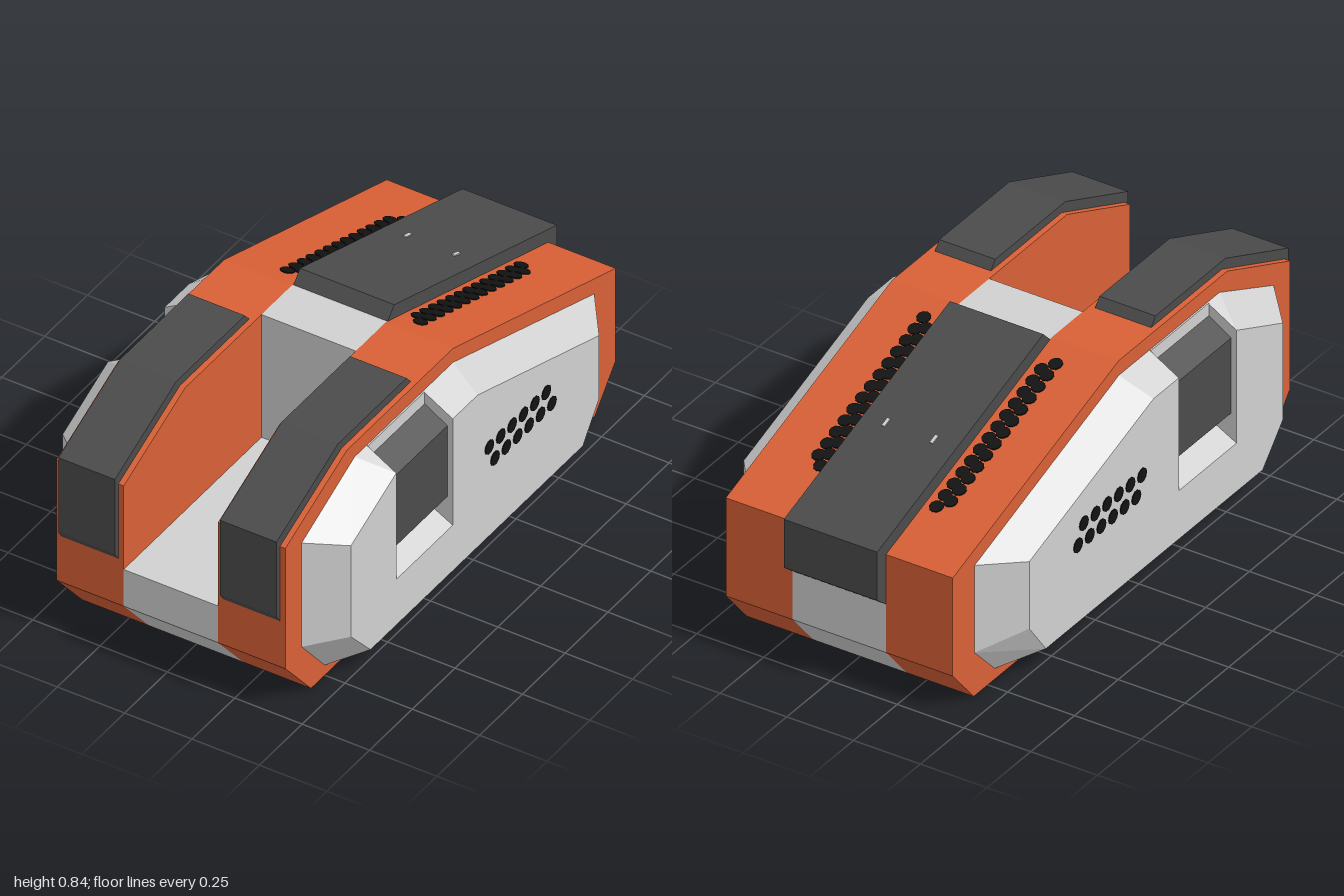
import * as THREE from 'three';
import { ConvexGeometry } from 'three/addons/geometries/ConvexGeometry.js';

const material = (name, color) => {
  const m = new THREE.MeshStandardMaterial({ color });
  m.name = name;
  return m;
};

// Extrudes a side profile of [z, y] points across the width from x0 to x1
function slab(profile, x0, x1) {
  const shape = new THREE.Shape(profile.map(([z, y]) => new THREE.Vector2(z, y)));
  const geo = new THREE.ExtrudeGeometry(shape, { depth: x1 - x0, bevelEnabled: false });
  return geo.rotateY(-Math.PI / 2).translate(x1, 0, 0);
}

// Convex solid between an inner and an outer outline of [z, y] points
function frustum(inner, outer, x0, x1) {
  return new ConvexGeometry([
    ...inner.map(([z, y]) => new THREE.Vector3(x0, y, z)),
    ...outer.map(([z, y]) => new THREE.Vector3(x1, y, z)),
  ]);
}

export function createModel() {
  const model = new THREE.Group();
  model.name = 'armouredPod';
  const orange = material('orange', 0xd96036);
  const grey = material('lightGrey', 0xd0d0d0);
  const dark = material('darkGrey', 0x4b4b4b);
  const black = material('black', 0x111111);

  const add = (name, geo, mat, parent = model) => {
    const mesh = new THREE.Mesh(geo, mat);
    mesh.name = name;
    parent.add(mesh);
    return mesh;
  };

  // Central body with the open front bay
  add('centreBody', slab([
    [0.98, 0.175], [0.98, 0.32], [0.175, 0.32], [0.175, 0.805], [0, 0.805],
    [-0.95, 0.505], [-0.95, 0.14], [-0.83, 0], [0.83, 0],
  ], -0.175, 0.175), grey);

  // Sloping rear deck panel
  add('rearPanel', slab([
    [-0.01, 0.8], [-0.05, 0.842], [-1, 0.54], [-1, 0.36], [-0.95, 0.32], [-0.95, 0.505],
  ], -0.175, 0.175), dark);

  const slope = -Math.atan2(0.3, 0.95);
  for (const x of [-0.09, 0.09]) {
    const tick = add('panelSlit', new THREE.BoxGeometry(0.012, 0.006, 0.035), grey);
    tick.position.set(x, 0.686, -0.545);
    tick.rotation.x = slope;
  }

  const hull = [
    [0.98, 0.175], [0.98, 0.65], [0.62, 0.805], [0, 0.805],
    [-0.95, 0.505], [-0.95, 0.14], [-0.83, 0], [0.83, 0],
  ];
  const fender = [
    [0.98, 0.355], [1, 0.385], [1, 0.68], [0.64, 0.835], [0.24, 0.835], [0.215, 0.805],
    [0.62, 0.805], [0.98, 0.65],
  ];
  const front = 0.505, back = 0.175; // ends of the side recess

  for (const side of [1, -1]) {
    const group = new THREE.Group();
    group.name = side > 0 ? 'leftSide' : 'rightSide';
    model.add(group);
    // Profiles run symmetrically, so only x positions are mirrored
    const mirror = (geo) => {
      if (side > 0) return geo;
      geo.scale(-1, 1, 1);
      const g = geo.index ? geo.toNonIndexed() : geo;
      const p = g.attributes.position;
      const a = new THREE.Vector3(), b = new THREE.Vector3();
      for (let i = 0; i < p.count; i += 3) {
        a.fromBufferAttribute(p, i + 1);
        b.fromBufferAttribute(p, i + 2);
        p.setXYZ(i + 1, b.x, b.y, b.z);
        p.setXYZ(i + 2, a.x, a.y, a.z);
      }
      g.computeVertexNormals();
      return g;
    };
    const put = (name, geo, mat) => add(name, mirror(geo), mat, group);

    put('sideHull', slab(hull, 0.175, 0.425), orange);
    put('frontFender', slab(fender, 0.195, 0.405), dark);

    // Faceted side armour in three blocks around the recess
    put('armourFront', frustum(
      [[0.885, 0.2], [0.885, 0.61], [0.575, 0.75], [front, 0.75], [front, 0.04], [0.75, 0.04]],
      [[0.77, 0.21], [0.77, 0.57], [front, 0.685], [front, 0.085], [0.655, 0.085]],
      0.425, 0.535), grey);
    put('armourRear', frustum(
      [[back, 0.75], [0, 0.75], [-0.825, 0.485], [-0.825, 0.16], [-0.71, 0.04], [back, 0.04]],
      [[back, 0.685], [0.03, 0.685], [-0.68, 0.46], [-0.68, 0.21], [-0.585, 0.085], [back, 0.085]],
      0.425, 0.535), grey);
    put('armourSill', frustum(
      [[front, 0.325], [back, 0.325], [back, 0.04], [front, 0.04]],
      [[front, 0.265], [back, 0.265], [back, 0.085], [front, 0.085]],
      0.425, 0.535), grey);
    put('recessBack', new THREE.BoxGeometry(0.008, 0.45, front - back)
      .translate(0.427, 0.525, (front + back) / 2), grey);

    // Dark block with a sloped top, set inside the recess
    put('recessBlock', frustum(
      [[front, 0.705], [back, 0.705], [back, 0.37], [front, 0.37]],
      [[front, 0.65], [back, 0.65], [back, 0.37], [front, 0.37]],
      0.428, 0.515), dark);

    // Two staggered rows of side vent holes
    for (let row = 0; row < 2; row++) {
      for (let i = 0; i < 6; i++) {
        const hole = add('sideVent', new THREE.CylinderGeometry(0.026, 0.026, 0.006, 10), black, group);
        hole.rotation.z = Math.PI / 2;
        hole.position.set(side * 0.535, 0.437 - row * 0.065, -0.037 - row * 0.033 - i * 0.0665);
      }
    }

    // Two overlapping rows of vent holes on the sloping deck
    for (let row = 0; row < 2; row++) {
      for (let i = 0; i < 13; i++) {
        const z = -0.725 + row * 0.035 + i * 0.05;
        const hole = add('deckVent', new THREE.CylinderGeometry(0.024, 0.024, 0.006, 10), black, group);
        hole.rotation.x = slope;
        hole.position.set(side * (0.217 + row * 0.03), 0.806 + z * (0.3 / 0.95), z);
      }
    }
  }
  return model;
}
